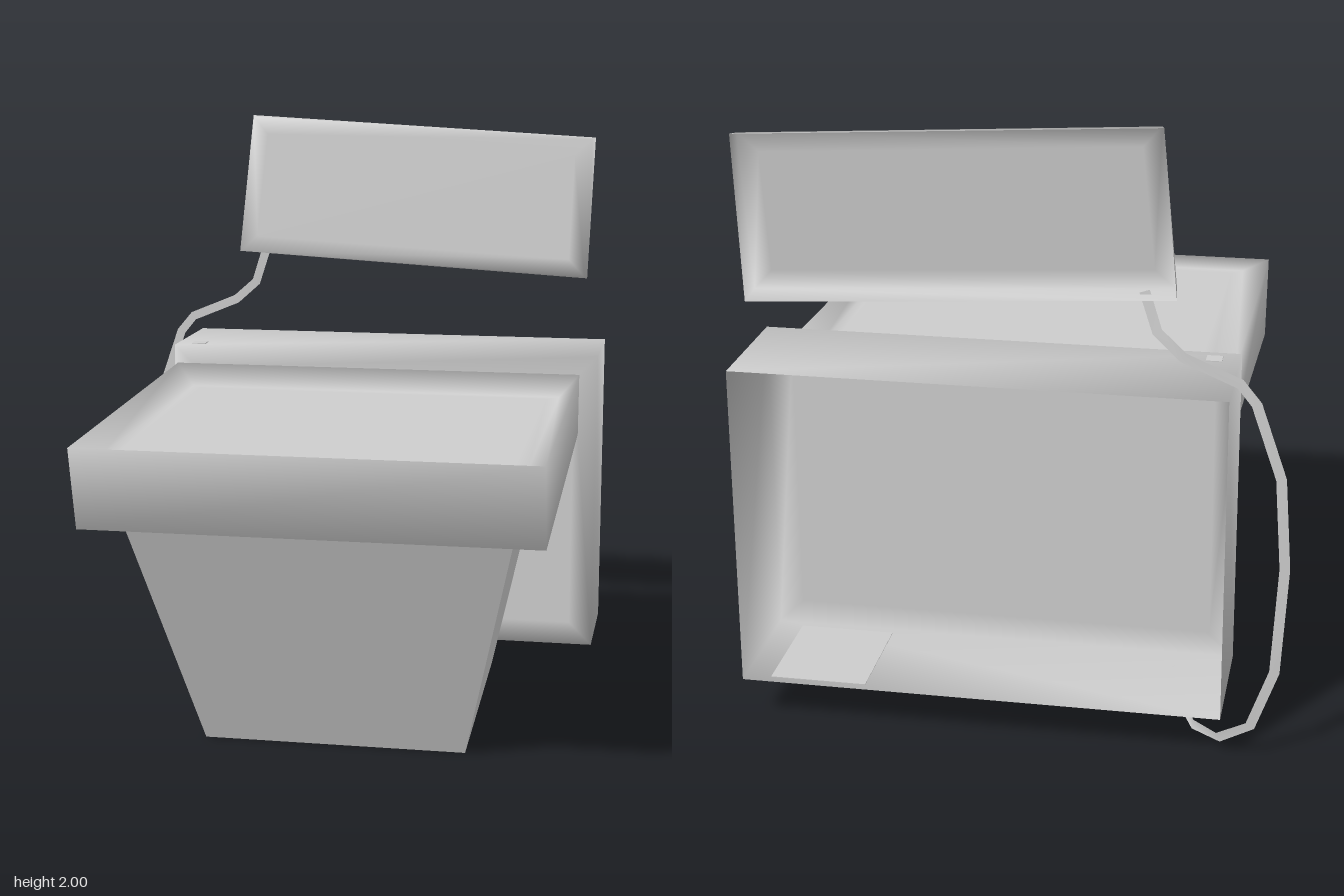
import * as THREE from 'three';

const grey = (extra = {}) => new THREE.MeshStandardMaterial({ color: 0xcccccc, side: THREE.DoubleSide, ...extra });

// Skins a list of four-cornered rings; the caps are optional.
function loft(name, rings, { startCap = false, endCap = false, flat = false } = {}) {
  const index = [];
  for (let r = 0; r < rings.length - 1; r++) {
    for (let i = 0; i < 4; i++) {
      const a = r * 4 + i, b = r * 4 + (i + 1) % 4;
      index.push(a, b, b + 4, a, b + 4, a + 4);
    }
  }
  const e = (rings.length - 1) * 4;
  if (startCap) index.push(0, 2, 1, 0, 3, 2);
  if (endCap) index.push(e, e + 1, e + 2, e, e + 2, e + 3);
  const geometry = new THREE.BufferGeometry();
  geometry.setAttribute('position', new THREE.Float32BufferAttribute(rings.flat(2), 3));
  geometry.setIndex(index);
  geometry.computeVertexNormals();
  const mesh = new THREE.Mesh(geometry, grey({ flatShading: flat }));
  mesh.name = name;
  return mesh;
}

// Ring lying roughly level: front and back edges have their own height.
const level = (x0, x1, zFront, yFront, zBack, yBack) => [
  [x0, yFront, zFront], [x1, yFront, zFront], [x1, yBack, zBack], [x0, yBack, zBack]];

// Upright ring facing the front.
const upright = (x0, x1, y0, y1, z) => [[x0, y0, z], [x1, y0, z], [x1, y1, z], [x0, y1, z]];

// Pulls the corners of a ring towards its centre, staying in its plane.
function inset(ring, amount) {
  const at = (i) => new THREE.Vector3(...ring[i]);
  return ring.map((_, i) => {
    const p = at(i);
    const u = at((i + 1) % 4).sub(p).setLength(amount);
    const v = at((i + 3) % 4).sub(p).setLength(amount);
    return p.add(u).add(v).toArray();
  });
}

function plate(name, w, h, d, x, y, z, tilt = 0) {
  const mesh = new THREE.Mesh(new THREE.BoxGeometry(w, h, d), grey());
  mesh.name = name;
  mesh.position.set(x, y, z);
  mesh.rotation.x = tilt;
  return mesh;
}

// Flat cord following a path, widened across its direction.
function ribbon(name, path, halfWidth) {
  const pts = path.map((p) => new THREE.Vector3(...p));
  const pos = [], index = [];
  pts.forEach((p, i) => {
    const t = pts[Math.min(i + 1, pts.length - 1)].clone().sub(pts[Math.max(i - 1, 0)]);
    const side = new THREE.Vector3(-t.y, t.x, 0).setLength(halfWidth);
    pos.push(...p.clone().add(side).toArray(), ...p.clone().sub(side).toArray());
    if (i) {
      const a = (i - 1) * 2;
      index.push(a, a + 2, a + 1, a + 1, a + 2, a + 3);
    }
  });
  const geometry = new THREE.BufferGeometry();
  geometry.setAttribute('position', new THREE.Float32BufferAttribute(pos, 3));
  geometry.setIndex(index);
  geometry.computeVertexNormals();
  const mesh = new THREE.Mesh(geometry, grey());
  mesh.name = name;
  return mesh;
}

export function createModel() {
  const model = new THREE.Group();
  model.name = 'model';

  // Tapered body standing on its narrow end
  const neck = level(-0.53, 0.69, 0.70, 0.79, -0.40, 0.88);
  model.add(loft('taperedBody', [level(-0.36, 0.51, 0.36, 0, -0.41, 0.07), neck],
    { startCap: true, flat: true }));
  model.add(plate('basePlate', 0.16, 0.006, 0.12, 0.35, 0.056, -0.27, 0.09));

  // Wide rim with a shallow sunken panel
  const panel = level(-0.56, 0.74, 0.83, 1.05, -0.31, 1.07);
  model.add(loft('rim', [
    neck,
    level(-0.65, 0.80, 0.82, 0.81, -0.42, 0.92),
    level(-0.65, 0.80, 0.89, 1.08, -0.435, 1.13),
    panel,
    inset(panel, 0.04),
  ], { endCap: true }));

  // Case behind, open at the back
  const caseFront = upright(-0.67, 0.86, 0.14, 1.19, -0.47);
  model.add(loft('openCase', [
    upright(-0.67, 0.86, 0.14, 1.19, -0.89), caseFront, inset(caseFront, 0.08),
  ], { endCap: true }));
  model.add(plate('caseButton', 0.05, 0.006, 0.05, -0.59, 1.19, -0.53));
  model.add(plate('casePlate', 0.31, 0.006, 0.36, 0.62, 0.139, -0.68));

  // Tilted wedge-shaped shell above, open at the back
  const shellFront = [[-0.50, 1.50, -0.80], [0.785, 1.43, -0.80], [0.80, 1.925, -0.85], [-0.455, 1.995, -0.85]];
  model.add(loft('wedgeShell', [
    [[-0.51, 1.49, -0.885], [0.79, 1.415, -0.885], [0.81, 1.93, -0.89], [-0.465, 2.0, -0.89]],
    shellFront,
    inset(shellFront, 0.06),
  ], { endCap: true }));

  // Flat cord from the shell down to the underside of the case
  model.add(ribbon('cord', [
    [-0.41, 1.50, -0.84], [-0.45, 1.38, -0.85], [-0.53, 1.31, -0.865], [-0.70, 1.24, -0.87],
    [-0.75, 1.18, -0.875], [-0.83, 0.95, -0.88], [-0.85, 0.66, -0.88], [-0.83, 0.31, -0.875],
    [-0.76, 0.11, -0.86], [-0.66, 0.05, -0.84], [-0.57, 0.032, -0.74], [-0.50, 0.07, -0.60],
    [-0.48, 0.14, -0.57],
  ], 0.016));

  return model;
}
